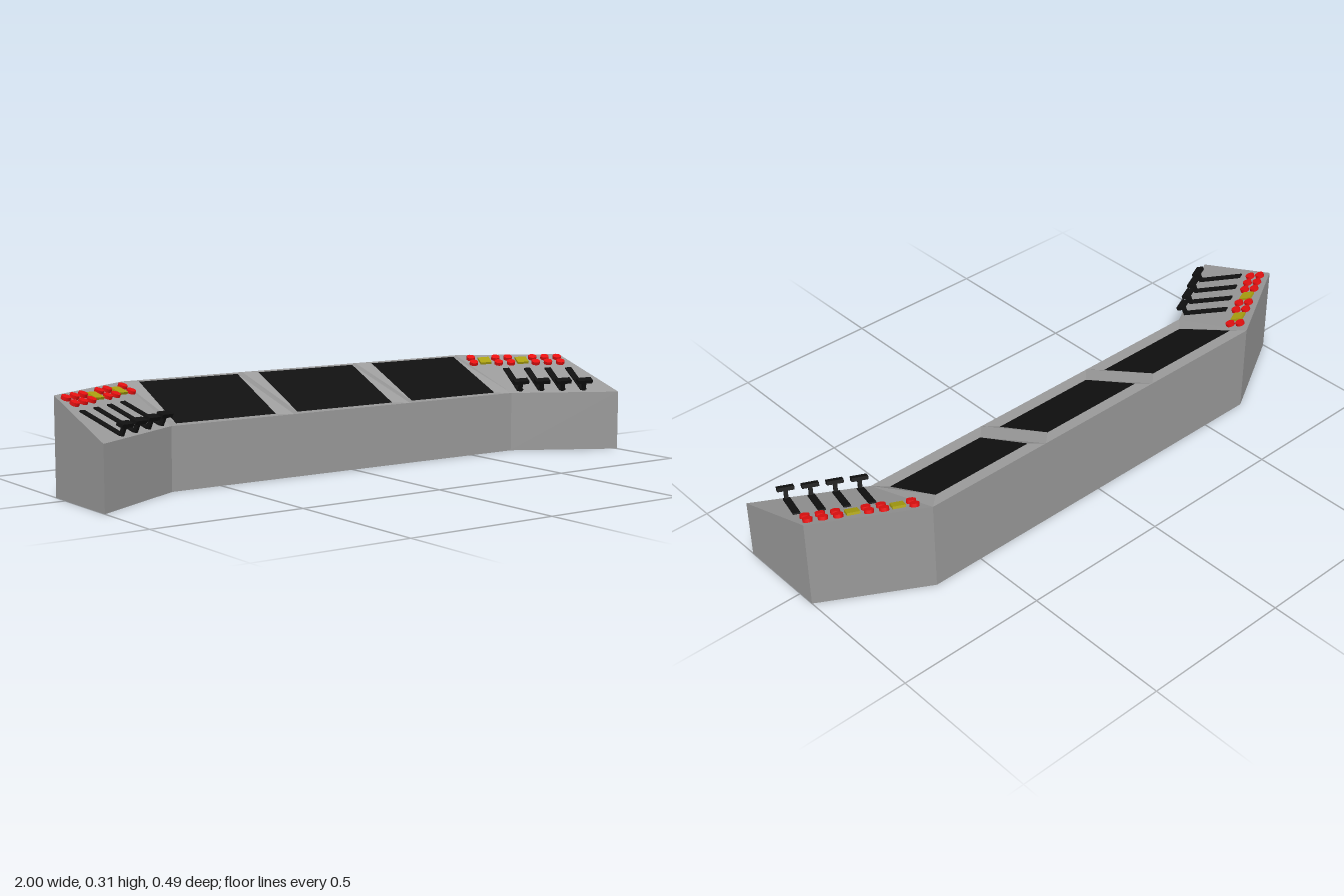
import * as THREE from 'three';

const mat = (name, color) => {
  const m = new THREE.MeshStandardMaterial({ color });
  m.name = name;
  return m;
};

// Key dimensions: panel joint, plan depths, heights
const XJ = 0.674, ZB = -0.246, ZF = 0.058, SWEEP = 0.187, TOP = 0.305, LOW = 0.2;

// Flat-faced geometry from a list of counter-clockwise quads
function quads(list) {
  const pos = [];
  for (const [a, b, c, d] of list) pos.push(...a, ...b, ...c, ...a, ...c, ...d);
  const g = new THREE.BufferGeometry();
  g.setAttribute('position', new THREE.Float32BufferAttribute(pos, 3));
  g.computeVertexNormals();
  return g;
}

// Height of a wing's sloping top at a plan position
const slope = (TOP - LOW) / (ZF - ZB);
const wingY = (x, z) => TOP - slope * (z - ZB - (SWEEP / (1 - XJ)) * (Math.abs(x) - XJ));

export function createModel() {
  const model = new THREE.Group();
  model.name = 'controlDesk';
  const grey = mat('desk grey', 0x999999);
  const black = mat('black', 0x101010);
  const red = mat('button red', 0xee1111);
  const yellow = mat('button yellow', 0xaaa010);

  const add = (parent, name, geometry, material) => {
    const m = new THREE.Mesh(geometry, material);
    m.name = name;
    parent.add(m);
    return m;
  };

  // Desk: cross-sections along x, joined by front, back and bottom walls
  const stations = [-1, -XJ, -0.23, 0.23, XJ, 1].map((x) => {
    const o = Math.abs(x) === 1 ? SWEEP : 0;
    return {
      bb: [x, 0, ZB + o], bt: [x, TOP, ZB + o],
      fb: [x, 0, ZF + o], ft: [x, LOW, ZF + o],
    };
  });
  const faces = [], screens = [];
  for (let i = 0; i < 5; i++) {
    const l = stations[i], r = stations[i + 1];
    faces.push([l.fb, r.fb, r.ft, l.ft], [r.bb, l.bb, l.bt, r.bt], [l.bb, r.bb, r.fb, l.fb]);
    if (i === 0 || i === 4) {
      faces.push([l.ft, r.ft, r.bt, l.bt]);
      continue;
    }
    // Middle bays: a mitred rim round a steeper screen
    const x0 = l.bt[0] + 0.041, x1 = r.bt[0] - 0.041, zb = ZB + 0.037, zf = ZF - 0.042;
    const a = [x0, LOW, zf], b = [x1, LOW, zf], c = [x1, TOP, zb], d = [x0, TOP, zb];
    faces.push([l.ft, r.ft, b, a], [r.ft, r.bt, c, b], [r.bt, l.bt, d, c], [l.bt, l.ft, a, d]);
    screens.push([a, b, c, d]);
  }
  const L = stations[0], R = stations[5];
  faces.push([L.bb, L.fb, L.ft, L.bt], [R.fb, R.bb, R.bt, R.ft]);
  add(model, 'desk', quads(faces), grey);
  screens.forEach((s) => add(model, 'screen', quads([s]), black));

  const buttonGeo = new THREE.CylinderGeometry(0.015, 0.015, 0.012, 12);
  const keyGeo = new THREE.BoxGeometry(0.04, 0.01, 0.04);
  const trackGeo = new THREE.BoxGeometry(0.022, 0.006, 0.16);
  const stemGeo = new THREE.BoxGeometry(0.012, 0.034, 0.012);
  const capGeo = new THREE.BoxGeometry(0.052, 0.012, 0.024);

  for (const side of [1, -1]) {
    const wing = new THREE.Group();
    wing.name = side > 0 ? 'leftControls' : 'rightControls';
    model.add(wing);

    // Axes lying in the wing's top surface
    const along = new THREE.Vector3(side * (1 - XJ), 0, SWEEP);
    const up = new THREE.Vector3(0, LOW - TOP, ZF - ZB).cross(along).multiplyScalar(side).normalize();
    const down = new THREE.Vector3(-0.4 * side, 0, 1);
    down.y = -(up.x * down.x + up.z * down.z) / up.y;
    down.normalize();
    const across = new THREE.Vector3().crossVectors(up, down);
    const turn = new THREE.Quaternion().setFromRotationMatrix(
      new THREE.Matrix4().makeBasis(across, up, down));

    const place = (name, geo, material, x, z, lift) => {
      const m = add(wing, name, geo, material);
      m.position.set(side * x, wingY(x, z), z).addScaledVector(up, lift);
      m.quaternion.copy(turn);
    };

    // Button strip: pairs of round buttons with square keys between
    [...'RRRYRRYR'].forEach((kind, i) => {
      const x = 0.966 - i * 0.0387, z = -0.024 - i * 0.0221;
      if (kind === 'Y') place('squareKey', keyGeo, yellow, x, z, 0.003);
      else for (const k of [-1, 1]) {
        place('roundButton', buttonGeo, red, x - k * 0.006, z + k * 0.016, 0.005);
      }
    });

    // Sliders: flat track with a T-shaped lever at its lower end
    for (let i = 0; i < 4; i++) {
      const x = 0.904 - i * 0.0645, z = 0.172 - i * 0.037;
      place('sliderTrack', trackGeo, black, x + 0.027, z - 0.068, 0.002);
      place('leverStem', stemGeo, black, x, z, 0.017);
      place('leverCap', capGeo, black, x, z, 0.036);
    }
  }
  return model;
}
